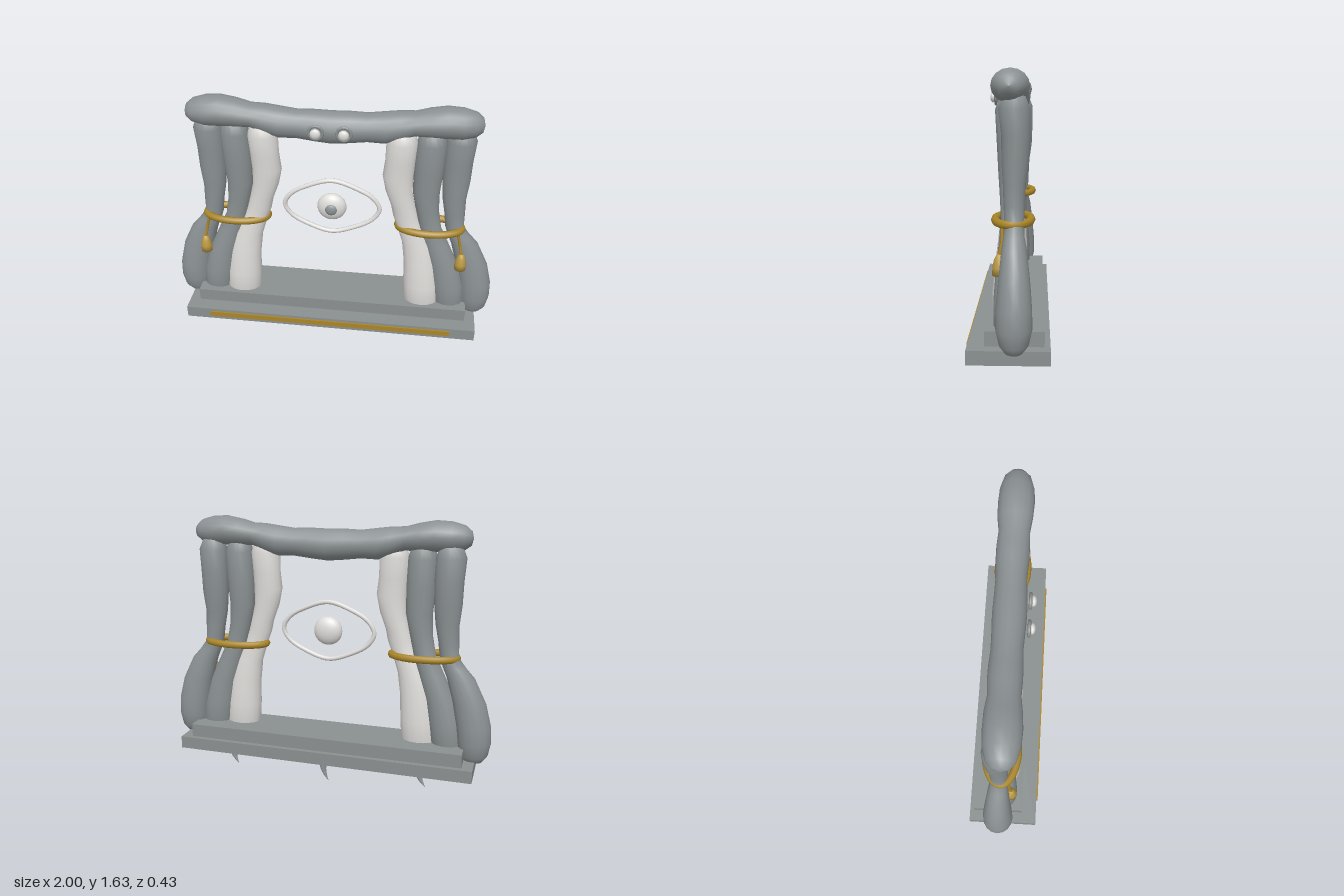
import * as THREE from 'three';

const mat = (name, color, side = THREE.FrontSide) => {
  const m = new THREE.MeshStandardMaterial({ color, side });
  m.name = name;
  return m;
};

// Closed skin through elliptical rings [s, c1, c2, r1, r2].
// 'y': s is height (descending), c = x,z centre.  'x': s is x (ascending), c = y,z centre.
function loft(rings, axis = 'y', sides = 16) {
  const pos = [], idx = [];
  for (const [s, c1, c2, r1, r2] of rings) {
    for (let j = 0; j < sides; j++) {
      const a = (j / sides) * Math.PI * 2;
      const u = c1 + r1 * Math.cos(a), v = c2 + r2 * Math.sin(a);
      if (axis === 'y') pos.push(u, s, v); else pos.push(s, u, v);
    }
  }
  for (let i = 0; i < rings.length - 1; i++) {
    for (let j = 0; j < sides; j++) {
      const k = (j + 1) % sides;
      const a = i * sides + j, b = i * sides + k, c = a + sides, d = b + sides;
      idx.push(a, b, c, b, d, c);
    }
  }
  const g = new THREE.BufferGeometry();
  g.setAttribute('position', new THREE.Float32BufferAttribute(pos, 3));
  g.setIndex(idx);
  g.computeVertexNormals();
  return g;
}

export function createModel() {
  const root = new THREE.Group();
  root.name = 'curtainStage';
  const cloth = mat('curtainGrey', 0x8b9193);
  const stone = mat('baseGrey', 0x8a8f90);
  const white = mat('paleWhite', 0xdedcd9);
  const gold = mat('gold', 0xa98628);
  const brass = mat('tasselGold', 0xbc9a45);
  const add = (name, geo, m, x = 0, y = 0, z = 0, parent = root) => {
    const mesh = new THREE.Mesh(geo, m);
    mesh.name = name;
    mesh.position.set(x, y, z);
    parent.add(mesh);
    return mesh;
  };

  // Stepped base with gold inlay
  add('baseLower', new THREE.BoxGeometry(1.83, 0.075, 0.423), stone, 0, 0.2125, -0.005);
  add('baseUpper', new THREE.BoxGeometry(1.7, 0.08, 0.303), stone, 0, 0.29, -0.035);
  add('baseStrip', new THREE.BoxGeometry(1.52, 0.033, 0.009), gold, 0, 0.217, 0.211);

  // Lumpy valance, mirrored about the centre: [x, y, z, ry, rz]
  const half = [
    [0.0, 1.477, -0.008, 0.093, 0.092], [0.1, 1.483, -0.008, 0.09, 0.088],
    [0.2, 1.487, -0.01, 0.082, 0.084], [0.3, 1.492, -0.01, 0.09, 0.09],
    [0.38, 1.508, -0.01, 0.084, 0.09], [0.46, 1.527, -0.008, 0.068, 0.085],
    [0.54, 1.537, -0.008, 0.08, 0.096], [0.63, 1.545, -0.006, 0.088, 0.1],
    [0.72, 1.542, -0.006, 0.086, 0.095], [0.79, 1.54, -0.006, 0.068, 0.075],
    [0.825, 1.538, -0.006, 0.04, 0.045], [0.835, 1.538, -0.006, 0.001, 0.001],
  ];
  const mirrored = half.slice(1).reverse().map(([x, ...r]) => [-x, ...r]);
  add('valance', loft([...mirrored, ...half], 'x'), cloth);

  // Studs on the valance
  for (const s of [-1, 1]) {
    add('studRing', new THREE.TorusGeometry(0.039, 0.009, 8, 20), stone, s * 0.078, 1.487, 0.098);
    add('studBead', new THREE.SphereGeometry(0.03, 14, 10), white, s * 0.078, 1.487, 0.115).scale.z = 0.55;
  }

  // Curtain folds: [y, x, z, rx, rz]
  const outer = [
    [1.51, 0.72, -0.03, 0.001, 0.001], [1.49, 0.72, -0.03, 0.065, 0.055], [1.43, 0.722, -0.03, 0.086, 0.08],
    [1.3, 0.716, -0.037, 0.083, 0.073], [1.17, 0.716, -0.035, 0.08, 0.07], [1.05, 0.716, -0.03, 0.068, 0.058],
    [0.95, 0.728, -0.03, 0.06, 0.054], [0.86, 0.735, -0.03, 0.055, 0.05], [0.8, 0.768, -0.03, 0.068, 0.052],
    [0.74, 0.808, -0.032, 0.082, 0.063], [0.6, 0.862, -0.034, 0.097, 0.078], [0.46, 0.893, -0.033, 0.102, 0.09],
    [0.36, 0.902, -0.033, 0.098, 0.092], [0.28, 0.9, -0.033, 0.085, 0.075], [0.24, 0.9, -0.033, 0.055, 0.045],
    [0.23, 0.9, -0.033, 0.001, 0.001],
  ];
  const middle = [
    [1.51, 0.56, -0.005, 0.001, 0.001], [1.49, 0.56, -0.005, 0.065, 0.055], [1.42, 0.56, -0.005, 0.085, 0.08],
    [1.25, 0.555, -0.008, 0.085, 0.075], [1.1, 0.55, -0.008, 0.078, 0.068], [0.98, 0.565, -0.008, 0.068, 0.06],
    [0.86, 0.59, -0.01, 0.066, 0.055], [0.74, 0.635, -0.01, 0.078, 0.064], [0.6, 0.69, -0.008, 0.09, 0.075],
    [0.45, 0.726, -0.008, 0.1, 0.086], [0.33, 0.742, -0.008, 0.098, 0.085], [0.26, 0.745, -0.008, 0.07, 0.06],
    [0.255, 0.745, -0.008, 0.001, 0.001],
  ];
  const inner = [
    [1.51, 0.395, 0.005, 0.001, 0.001], [1.49, 0.395, 0.005, 0.065, 0.055], [1.42, 0.395, 0.008, 0.088, 0.078],
    [1.3, 0.39, 0.006, 0.085, 0.068], [1.2, 0.382, 0.004, 0.088, 0.066], [1.1, 0.393, 0.004, 0.078, 0.06],
    [1.0, 0.423, 0.002, 0.071, 0.055], [0.93, 0.44, 0.002, 0.073, 0.052], [0.86, 0.465, 0.002, 0.072, 0.05],
    [0.74, 0.518, 0.002, 0.087, 0.06], [0.6, 0.547, 0.004, 0.098, 0.075], [0.45, 0.562, 0.008, 0.108, 0.086],
    [0.33, 0.572, 0.008, 0.11, 0.085], [0.26, 0.572, 0.008, 0.08, 0.06], [0.255, 0.572, 0.008, 0.001, 0.001],
  ];

  for (const s of [-1, 1]) {
    const side = new THREE.Group();
    side.name = s > 0 ? 'leftCurtain' : 'rightCurtain';
    root.add(side);
    const flip = (r) => r.map(([y, x, ...q]) => [y, s * x, ...q]);
    add('outerFold', loft(flip(outer)), cloth, 0, 0, 0, side);
    add('middleFold', loft(flip(middle)), cloth, 0, 0, 0, side);
    add('innerFold', loft(flip(inner)), white, 0, 0, 0, side);

    // Tieback: an oval ring
    const oval = Array.from({ length: 24 }, (_, i) => {
      const a = (i / 24) * Math.PI * 2;
      return new THREE.Vector3(s * 0.588 + 0.192 * Math.cos(a), 0.855, -0.02 + 0.094 * Math.sin(a));
    });
    const ring = new THREE.CatmullRomCurve3(oval, true);
    add('tieback', new THREE.TubeGeometry(ring, 48, 0.022, 8, true), gold, 0, 0, 0, side);

    // Cord and tassel
    const cord = new THREE.CatmullRomCurve3([
      new THREE.Vector3(s * 0.755, 0.85, 0.03), new THREE.Vector3(s * 0.775, 0.77, 0.03),
      new THREE.Vector3(s * 0.79, 0.7, 0.045)]);
    add('cord', new THREE.TubeGeometry(cord, 8, 0.009, 6), gold, 0, 0, 0, side);
    const profile = [[0, 0], [0.035, 0], [0.034, 0.04], [0.026, 0.08], [0.014, 0.105], [0, 0.11]];
    add('tassel', new THREE.LatheGeometry(profile.map((p) => new THREE.Vector2(...p)), 12), brass,
      s * 0.79, 0.602, 0.044, side);
  }

  // Floating eye: almond outline, eyeball and iris
  const lid = [[0.285, 0], [0.245, 0.073], [0.14, 0.135], [0, 0.176], [-0.14, 0.135], [-0.245, 0.073],
    [-0.285, 0], [-0.245, -0.073], [-0.14, -0.135], [0, -0.176], [0.14, -0.135], [0.245, -0.073]];
  const lidCurve = new THREE.CatmullRomCurve3(lid.map(([x, y]) => new THREE.Vector3(x, y, 0)), true);
  add('eyeOutline', new THREE.TubeGeometry(lidCurve, 64, 0.014, 8, true), white, 0, 0.96, 0);
  add('eyeball', new THREE.SphereGeometry(0.088, 20, 14), white, 0, 0.96, 0).scale.z = 0.55;
  add('iris', new THREE.SphereGeometry(0.036, 16, 12), cloth, 0, 0.96, 0.042).scale.z = 0.5;

  // Curved claws beneath the base
  for (const [x, len] of [[-0.605, 0.13], [0.005, 0.17], [0.615, 0.13]]) {
    const rings = [];
    for (let i = 0; i <= 7; i++) {
      const t = i / 7, r = 0.034 * Math.pow(1 - t, 0.8) + 0.001;
      rings.push([0.176 - len * t, x + 0.025 * Math.sin(t * Math.PI * 0.8) - 0.04 * t * t,
        -0.032 - 0.034 * t, r, r]);
    }
    add('claw', loft(rings, 'y', 10), cloth);
  }
  return root;
}
